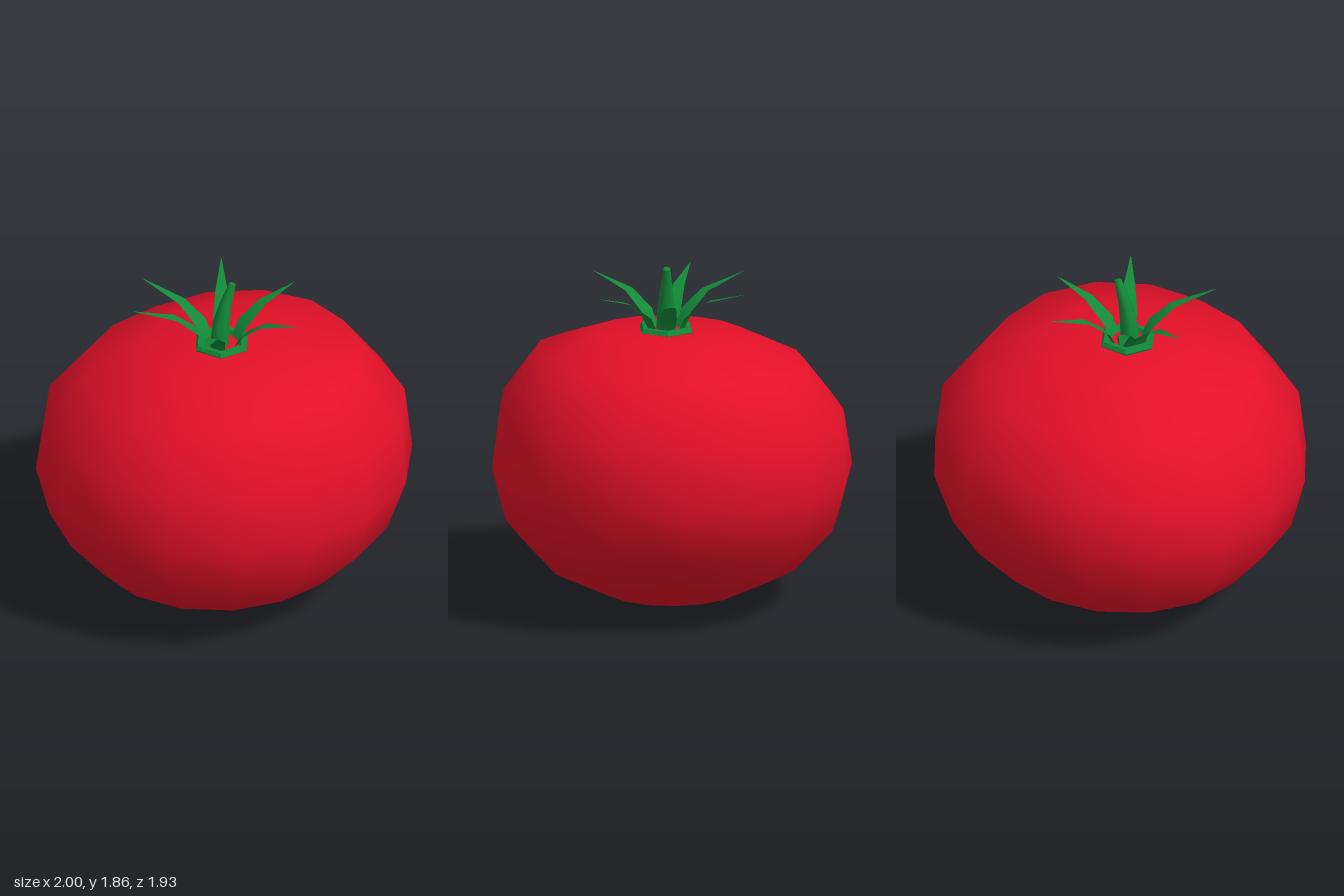
import * as THREE from 'three';
import { mergeVertices, toCreasedNormals } from 'three/addons/utils/BufferGeometryUtils.js';

const skinRed = new THREE.MeshStandardMaterial({ color: 0xe31028 });
skinRed.name = 'skinRed';
const leafGreen = new THREE.MeshStandardMaterial({ color: 0x118a38, side: THREE.DoubleSide });
leafGreen.name = 'leafGreen';

// Squashed sphere with full, slightly squared shoulders, fullest towards the front left
function fruitGeometry() {
  let geo = new THREE.SphereGeometry(1, 16, 8);
  geo.deleteAttribute('uv');
  geo.deleteAttribute('normal');
  geo = mergeVertices(geo, 1e-4);
  const p = geo.attributes.position;
  for (let i = 0; i < p.count; i++) {
    const x = p.getX(i), y = p.getY(i), z = p.getZ(i);
    const up = Math.max(0, y);
    const shoulder = 4 * up * up * (1 - y * y);
    const corner = 1 + 2 * Math.abs(x * z) * (0.025 + 0.08 * up);
    p.setXYZ(i,
      x * corner + 0.08 * Math.max(0, x) * y - 0.04 * y * y,
      0.752 + 0.75 * y + shoulder * (0.07 + 0.06 * (x + z)),
      0.965 * z * corner * (1 + 0.08 * up));
  }
  geo.computeVertexNormals();
  return geo;
}

// Closed tapered loft through stations [point, radius]
function loft(stations, side, sides) {
  const pos = [], index = [], n = stations.length;
  stations.forEach(([c, r], i) => {
    const tangent = stations[Math.min(i + 1, n - 1)][0].clone()
      .sub(stations[Math.max(i - 1, 0)][0]).normalize();
    const up = tangent.clone().cross(side).normalize();
    for (let j = 0; j < sides; j++) {
      const a = (j / sides) * Math.PI * 2;
      const v = c.clone().addScaledVector(side, Math.cos(a) * r).addScaledVector(up, Math.sin(a) * r);
      pos.push(v.x, v.y, v.z);
    }
  });
  for (let i = 0; i < n - 1; i++) {
    for (let j = 0; j < sides; j++) {
      const a = i * sides + j, b = i * sides + (j + 1) % sides;
      index.push(a, b, a + sides, b, b + sides, a + sides);
    }
  }
  const last = (n - 1) * sides;
  for (let j = 1; j < sides - 1; j++) {
    index.push(0, j + 1, j, last, last + j, last + j + 1);
  }
  const geo = new THREE.BufferGeometry();
  geo.setAttribute('position', new THREE.Float32BufferAttribute(pos, 3));
  geo.setIndex(index);
  return toCreasedNormals(geo, 0.9);
}

// Thin leaf sheet pointing along (dx, dz), from rows [distance, height, halfWidth] to a point
function leafGeometry(dx, dz, rows) {
  const pos = [], index = [];
  rows.forEach(([d, y, w], i) => {
    pos.push(dx * d + dz * w, y, dz * d - dx * w, dx * d - dz * w, y, dz * d + dx * w);
    const a = 2 * i;
    if (i < rows.length - 1) index.push(a, a + 1, a + 2, a + 1, a + 3, a + 2);
  });
  const geo = new THREE.BufferGeometry();
  geo.setAttribute('position', new THREE.Float32BufferAttribute(pos, 3));
  geo.setIndex(index);
  geo.computeVertexNormals();
  return geo;
}

export function createModel() {
  const model = new THREE.Group();
  const add = (name, geo, mat, parent = model) => {
    const mesh = new THREE.Mesh(geo, mat);
    mesh.name = name;
    parent.add(mesh);
  };

  add('fruit', fruitGeometry(), skinRed);

  // Calyx: hexagonal ring, leaning stem and six curved leaves
  const calyx = new THREE.Group();
  calyx.name = 'calyx';
  calyx.position.set(-0.03, 1.5, 0.03);
  model.add(calyx);

  const ringGeo = new THREE.TorusGeometry(0.132, 0.026, 6, 6);
  ringGeo.rotateX(-Math.PI / 2);
  add('calyxRing', toCreasedNormals(ringGeo, 0.7), leafGreen, calyx);

  const V = (x, y, z) => new THREE.Vector3(x, y, z);
  add('stem', loft([
    [V(-0.015, -0.03, 0), 0.052],
    [V(-0.005, 0.12, 0), 0.046],
    [V(0.025, 0.24, 0), 0.032],
    [V(0.066, 0.352, 0), 0.019],
  ], V(0, 0, 1), 8), leafGreen, calyx);

  // Leaf tips in plan, relative to the calyx centre
  const tips = [[0.45, -0.01], [0.22, -0.41], [-0.25, -0.43], [-0.45, -0.16], [-0.32, 0.37], [0.25, 0.39]];
  tips.forEach(([tx, tz]) => {
    const reach = Math.hypot(tx, tz);
    add('leaf', leafGeometry(tx / reach, tz / reach, [
      [0.08, -0.01, 0.036],
      [0.13, 0.085, 0.047],
      [0.25, 0.18, 0.032],
      [reach, 0.243, 0.001],
    ]), leafGreen, calyx);
  });

  return model;
}
